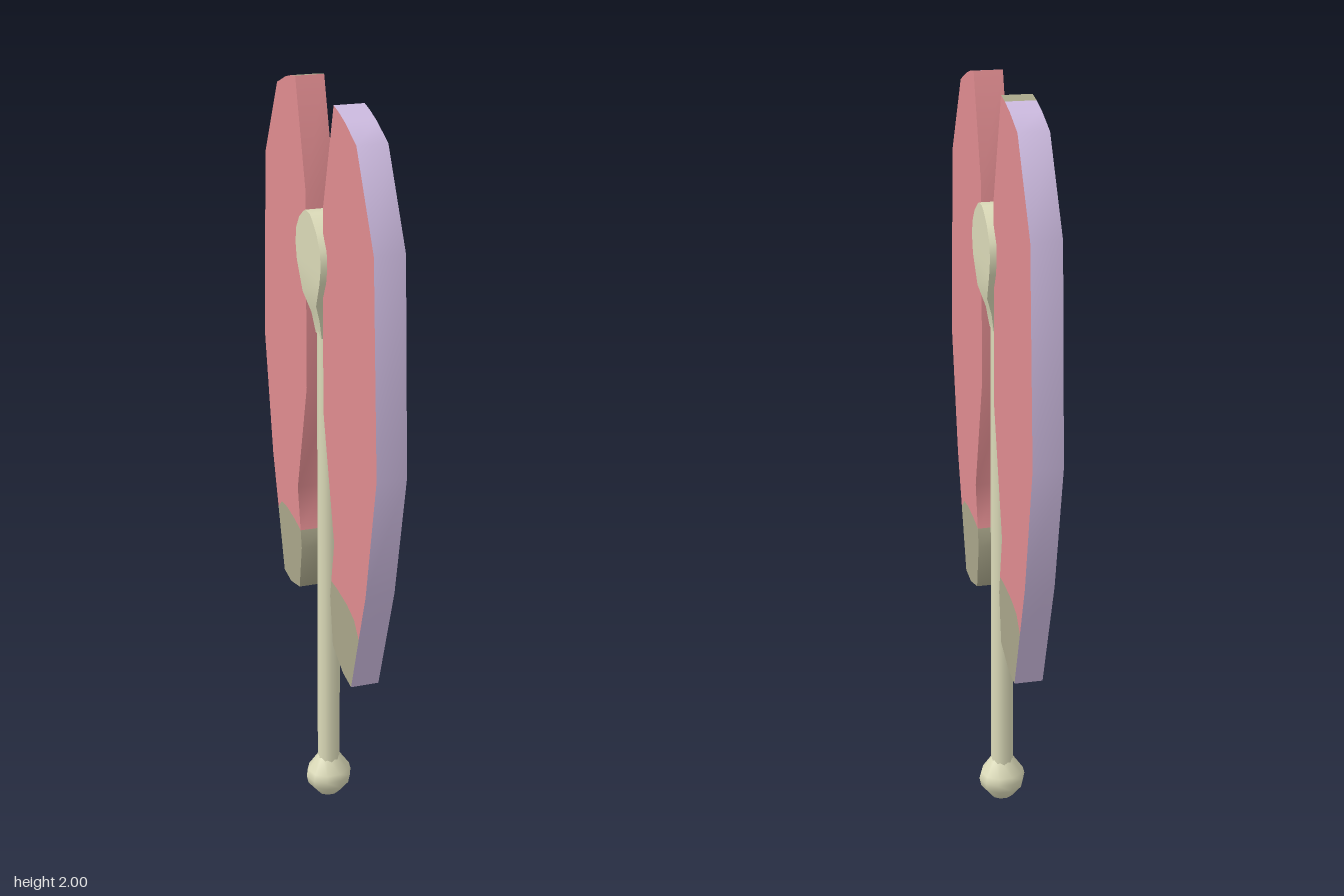
import * as THREE from 'three';
import { toCreasedNormals } from 'three/addons/utils/BufferGeometryUtils.js';

const paint = (name, color) => {
  const m = new THREE.MeshStandardMaterial({ color });
  m.name = name;
  return m;
};

const T = 0.073; // wing thickness

// Wing outline as [z, y], running from the tip down the outer edge and back up the inner edge
const OUTER = [[0.16, 2], [0.2, 1.993], [0.25, 1.98], [0.33, 1.95], [0.46, 1.74], [0.5, 1.22], [0.43, 0.88], [0.379, 0.73], [0.32, 0.555]];
const BOTTOM = [[0.32, 0.555], [0.25, 0.555], [0.16, 0.585], [0.135, 0.72], [0.145, 0.77]];
const INNER = [[0.145, 0.77], [0.17, 0.89], [0.075, 1.22], [0.075, 1.74], [0.16, 2]];
const SPLIT = [[0.2, 0.775], [0.28, 0.775], [0.34, 0.765]]; // colour border on the faces

// Band across the wing thickness, following a path
function band(path) {
  const g = new THREE.PlaneGeometry(T, 1, 1, path.length - 1);
  const p = g.attributes.position;
  for (let i = 0; i < p.count; i++) {
    const [z, y] = path[i >> 1];
    p.setXYZ(i, p.getX(i), y, z);
  }
  g.computeVertexNormals();
  return g;
}

// Flat side face of the wing
function face(points, side) {
  const shape = new THREE.Shape(points.map(([z, y]) => new THREE.Vector2(-side * z, y)));
  return new THREE.ShapeGeometry(shape).rotateY(side * Math.PI / 2).translate(side * T / 2, 0, 0);
}

function add(group, name, geometry, material) {
  const mesh = new THREE.Mesh(geometry, material);
  mesh.name = name;
  group.add(mesh);
  return mesh;
}

export function createModel() {
  const red = paint('rose red', 0xe08c90);
  const lilac = paint('lilac', 0xcbb9de);
  const bone = paint('pale bone', 0xdbdab8);
  const khaki = paint('khaki', 0xa9a68a);
  const model = new THREE.Group();

  // Two wings, front and back
  for (const name of ['frontWing', 'backWing']) {
    const wing = new THREE.Group();
    wing.name = name;
    const back = name === 'backWing';
    const upper = [...OUTER.slice(0, 8), ...[...SPLIT].reverse(), ...INNER.slice(0, -1)];
    const lower = [...OUTER.slice(7), ...BOTTOM.slice(1), ...SPLIT];
    for (const side of [1, -1]) {
      add(wing, 'wingFace', face(upper, side), red);
      add(wing, 'wingTipFace', face(lower, side), khaki);
    }
    add(wing, 'outerEdge', band(back ? OUTER.slice(1) : OUTER), lilac);
    if (back) add(wing, 'topEdgePatch', band(OUTER.slice(0, 2)), khaki);
    add(wing, 'bottomEdge', band(BOTTOM), khaki);
    add(wing, 'innerEdge', band(INNER), red);
    if (back) wing.rotation.y = Math.PI;
    model.add(wing);
  }

  // Shaft
  const shaft = new THREE.CylinderGeometry(0.029, 0.031, 1.34, 10, 1, true).translate(0, 0.78, 0);
  add(model, 'shaft', shaft, bone);

  // Rounded foot knob
  const knob = [[0, 0], [0.032, 0], [0.06, 0.035], [0.065, 0.06], [0.06, 0.08], [0.03, 0.125]];
  const foot = add(model, 'footKnob', new THREE.LatheGeometry(knob.map(([r, y]) => new THREE.Vector2(r, y)), 10), bone);
  foot.rotation.y = Math.PI / 2;
  foot.scale.x = 0.86;

  // Flat disc head flaring out of the shaft: rows of [y, half depth, half width]
  const rows = [[1.71, 0.018, 0.053], [1.7, 0.04, 0.053], [1.677, 0.075, 0.053], [1.64, 0.105, 0.053], [1.6, 0.11, 0.053],
    [1.56, 0.1, 0.053], [1.49, 0.06, 0.05], [1.44, 0.036, 0.034], [1.39, 0.026, 0.026]];
  const head = new THREE.BoxGeometry(2, 1, 2, 1, rows.length - 1, 1);
  const p = head.attributes.position;
  for (let i = 0; i < p.count; i++) {
    const [y, dz, dx] = rows[Math.round((0.5 - p.getY(i)) * (rows.length - 1))];
    p.setXYZ(i, p.getX(i) * dx, y, p.getZ(i) * dz);
  }
  add(model, 'discHead', toCreasedNormals(head, 0.8), bone);

  return model;
}
